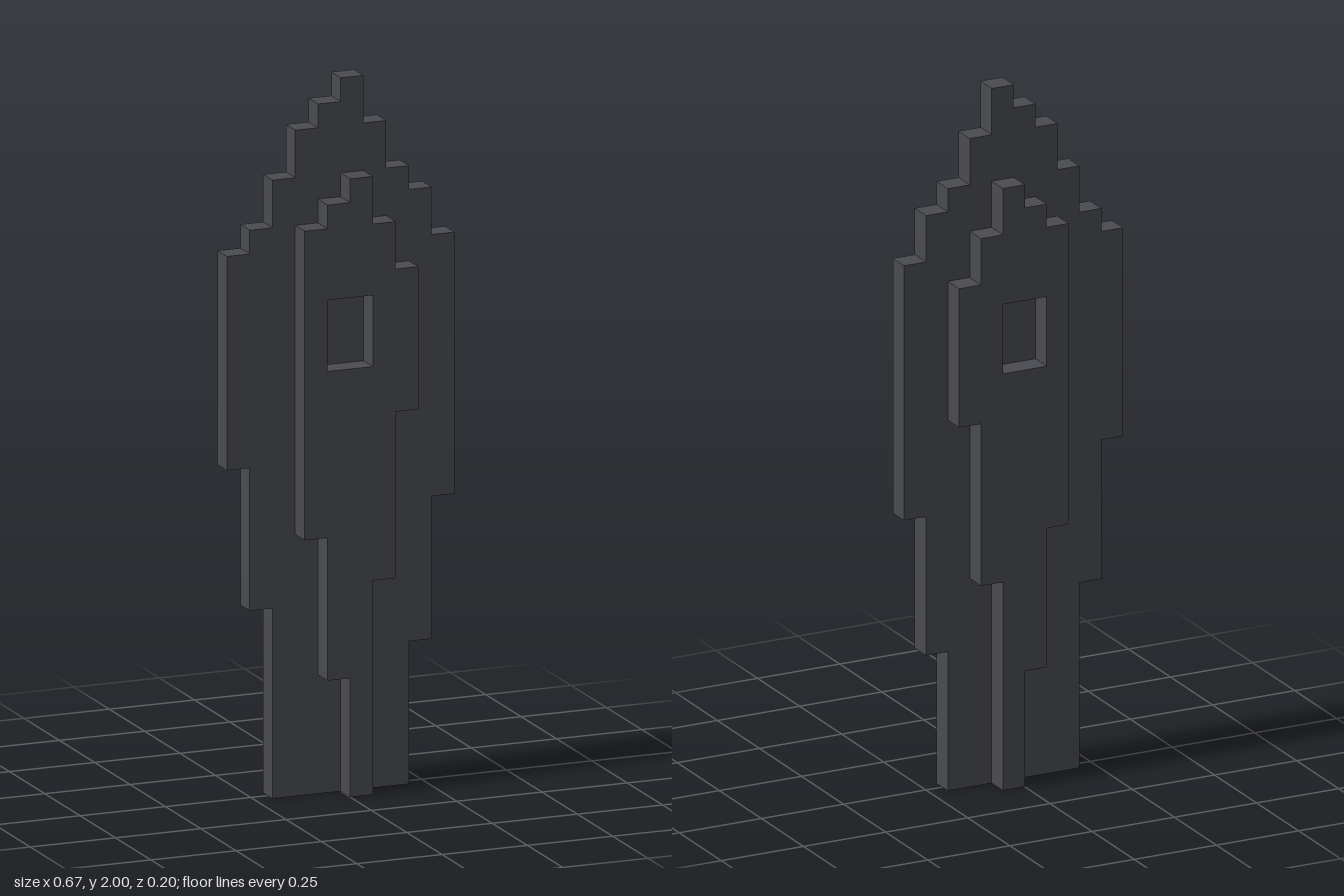
import * as THREE from 'three';

const U = 1 / 15; // size of one block

// Stepped outline from columns one block wide, each [bottom, top] in blocks
function steppedShape(startX, columns) {
  const lower = [], upper = [];
  columns.forEach(([bottom, top], i) => {
    const x0 = (startX + i) * U, x1 = x0 + U;
    lower.push(new THREE.Vector2(x0, bottom * U), new THREE.Vector2(x1, bottom * U));
    upper.push(new THREE.Vector2(x0, top * U), new THREE.Vector2(x1, top * U));
  });
  const points = [...lower, ...upper.reverse()];
  return new THREE.Shape(points.filter((p, i) => i === 0 || !p.equals(points[i - 1])));
}

// One-block-thick slab centred on z
function slab(name, shape, material, z) {
  const geometry = new THREE.ExtrudeGeometry(shape, { depth: U, bevelEnabled: false });
  geometry.translate(0, 0, z - U / 2);
  const mesh = new THREE.Mesh(geometry, material);
  mesh.name = name;
  return mesh;
}

export function createModel() {
  const group = new THREE.Group();
  group.name = 'steppedBlade';
  const darkGrey = new THREE.MeshStandardMaterial({ color: 0x4a4b50 });
  darkGrey.name = 'darkGrey';

  // Broad middle layer
  const core = steppedShape(-5, [
    [14, 23], [8, 24], [0, 26], [0, 28], [0, 29],
    [0, 30], [0, 28], [0, 26], [6, 25], [12, 23],
  ]);
  group.add(slab('core', core, darkGrey, 0));

  // Narrower raised layer with a rectangular recess
  const ridge = steppedShape(-2, [[11, 24], [5, 25], [0, 26], [9, 24], [16, 22]]);
  ridge.holes.push(new THREE.Path([
    new THREE.Vector2(-U, 18 * U), new THREE.Vector2(-U, 21 * U),
    new THREE.Vector2(U, 21 * U), new THREE.Vector2(U, 18 * U),
  ]));
  group.add(slab('frontRidge', ridge, darkGrey, U));
  group.add(slab('backRidge', ridge, darkGrey, -U));

  return group;
}
